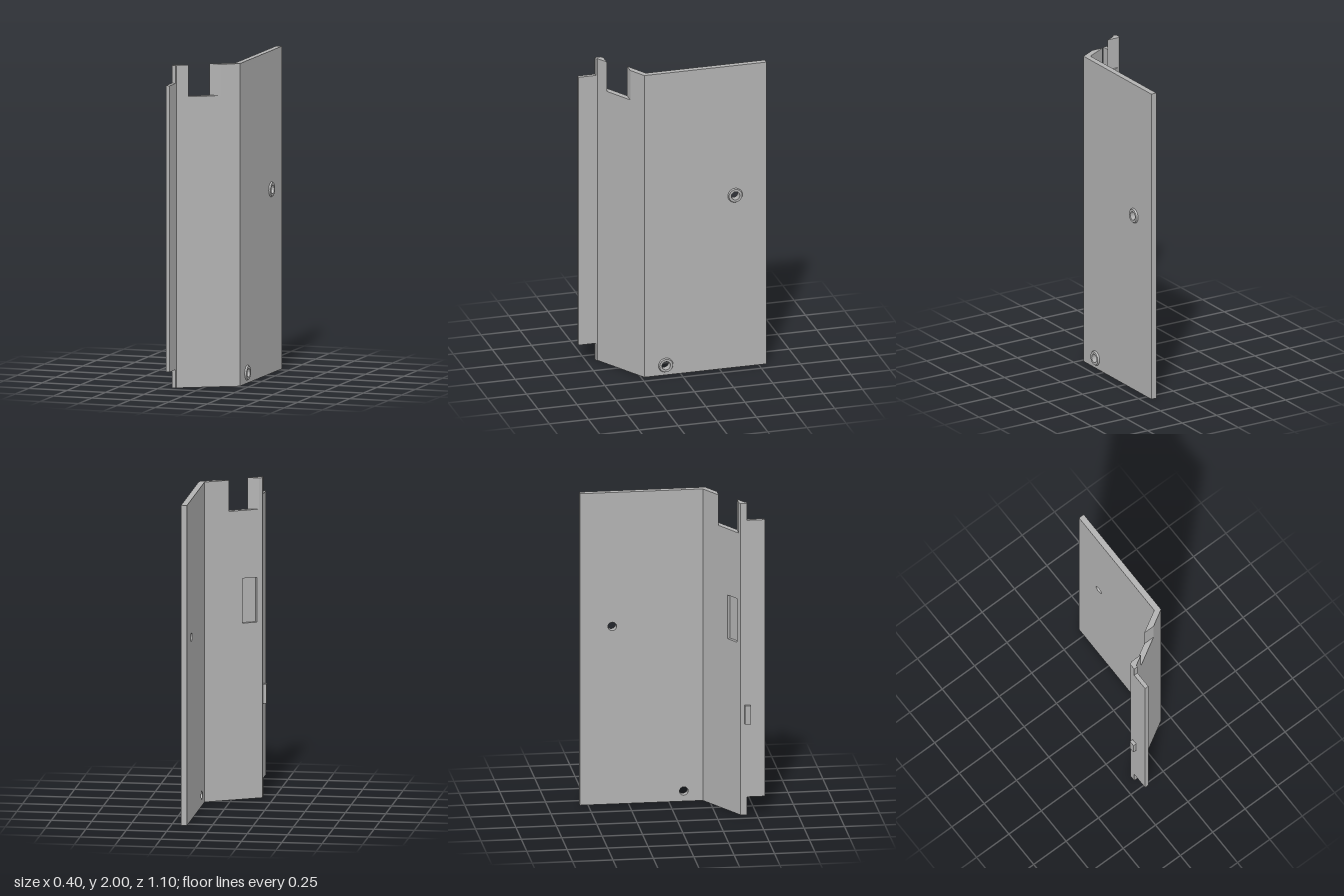
import * as THREE from 'three';
import { toCreasedNormals } from 'three/addons/utils/BufferGeometryUtils.js';

export function createModel() {
  const model = new THREE.Group();
  const metal = new THREE.MeshStandardMaterial({ color: 0xb2b2b2 });
  metal.name = 'greyMetal';

  const add = (name, geometry) => {
    const mesh = new THREE.Mesh(geometry, metal);
    mesh.name = name;
    model.add(mesh);
    return mesh;
  };

  // Vertical prism from a footprint of [x, z] points
  const prism = (name, points, y0, y1) => {
    const shape = new THREE.Shape(points.map(([x, z]) => new THREE.Vector2(x, -z)));
    const g = new THREE.ExtrudeGeometry(shape, { depth: y1 - y0, bevelEnabled: false });
    g.rotateX(-Math.PI / 2).translate(0, y0, 0);
    return add(name, g);
  };

  const box = (name, x0, x1, y0, y1, z0, z1) => {
    const g = new THREE.BoxGeometry(x1 - x0, y1 - y0, z1 - z0);
    g.translate((x0 + x1) / 2, (y0 + y1) / 2, (z0 + z1) / 2);
    return add(name, g);
  };

  // Large side plate with two screw holes
  const holes = [[-0.35, 1.14], [0.093, 0.065]]; // z, y
  const side = new THREE.Shape();
  side.moveTo(-0.21, 0);
  side.lineTo(0.55, 0);
  side.lineTo(0.55, 2);
  side.lineTo(-0.21, 2);
  side.closePath();
  for (const [z, y] of holes) {
    const hole = new THREE.Path();
    hole.absarc(-z, y, 0.027, 0, Math.PI * 2, true);
    side.holes.push(hole);
  }
  const plate = new THREE.ExtrudeGeometry(side, { depth: 0.037, bevelEnabled: false, curveSegments: 16 });
  plate.rotateY(Math.PI / 2).translate(0.153, 0, 0);
  add('sidePlate', toCreasedNormals(plate, 0.6));

  // Raised tapered collars around the holes
  const collar = [[0.047, 0], [0.042, 0.01], [0.027, 0.01], [0.027, 0]]
    .map(([r, h]) => new THREE.Vector2(r, h));
  for (const [z, y] of holes) {
    const g = new THREE.LatheGeometry(collar, 32);
    g.rotateZ(-Math.PI / 2).translate(0.19, y, z);
    add('holeCollar', toCreasedNormals(g, 0.6));
  }

  // Slanted panel, stacked so that one band holds a shallow pocket in its inner face
  const inner = (x) => [x, 0.21 + (0.153 - x) * 0.575];
  const sunk = (x) => [x + 0.01, inner(x)[1] + 0.0174];
  const outline = [[0.153, 0.21], [0.19, 0.21], [0.19, 0.23], [-0.153, 0.429],
    [-0.153, 0.44], [-0.178, 0.44], inner(-0.178)];
  const pocket = [inner(-0.147), sunk(-0.147), sunk(-0.063), inner(-0.063)];
  prism('slantedPanelLower', outline, 0, 1.1);
  prism('slantedPanelPocket', [...outline, ...pocket], 1.1, 1.38);
  prism('slantedPanelUpper', outline, 1.38, 1.805);

  // Posts on both sides of the top notch
  prism('notchPostLeft', [[0.153, 0.21], [0.19, 0.21], [0.19, 0.23], [0.087, 0.29], [0.014, 0.29]], 1.805, 2);
  prism('notchPostRight', [[-0.16, 0.39], [-0.086, 0.39], [-0.153, 0.429],
    [-0.153, 0.44], [-0.178, 0.44], inner(-0.178)], 1.805, 2);

  // Shorter front flange and its small locating tab
  box('frontFlange', -0.178, -0.153, 0.115, 1.89, 0.44, 0.55);
  box('locatingTab', -0.199, -0.17, 0.585, 0.705, 0.425, 0.46);

  return model;
}
